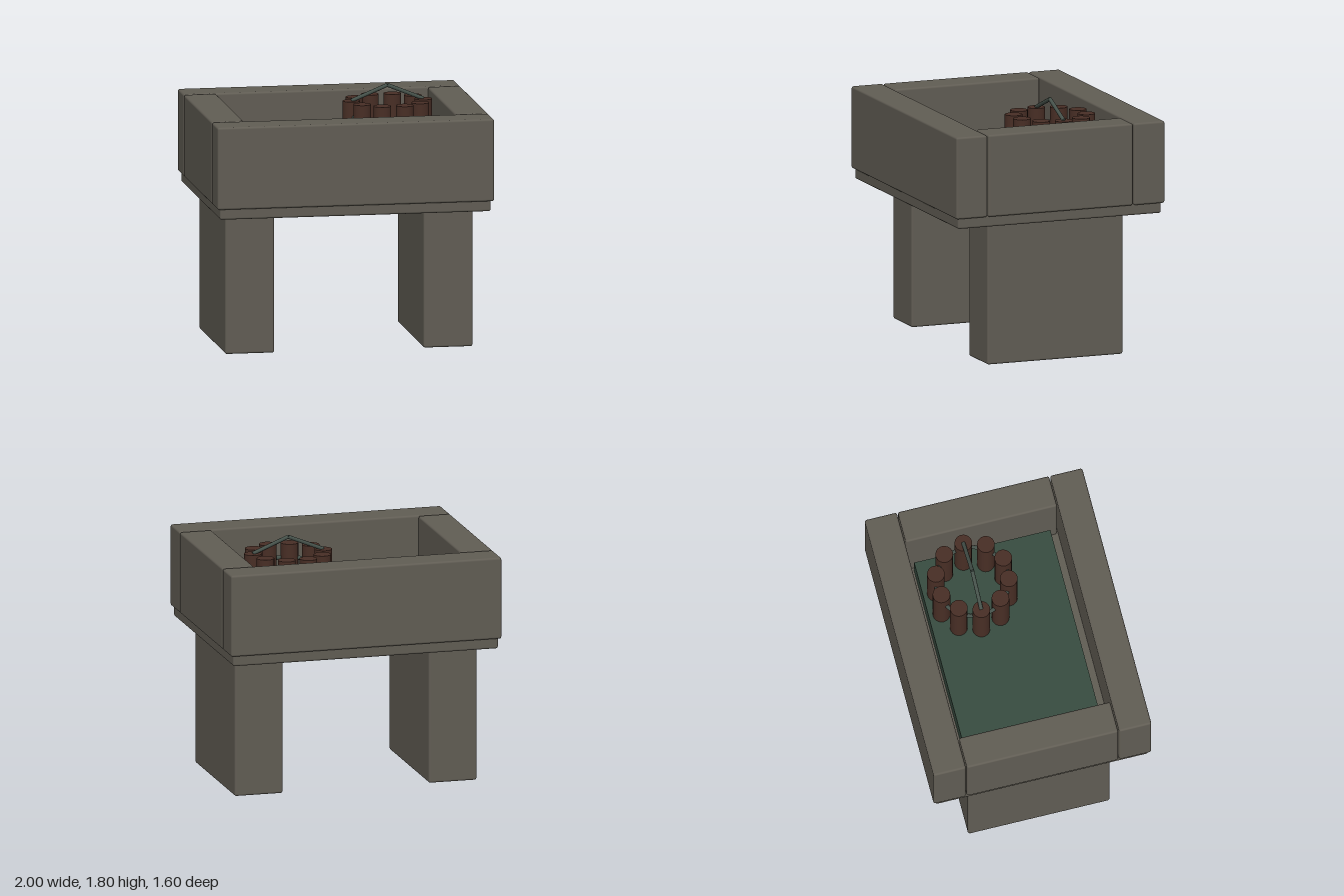
import * as THREE from 'three';
import { RoundedBoxGeometry } from 'three/addons/geometries/RoundedBoxGeometry.js';

const mat = (name, color) => new THREE.MeshStandardMaterial({ name, color });

export function createModel() {
  const stone = mat('stone', 0x615d54);
  const water = mat('water', 0x384c40);
  const wood = mat('wood', 0x482e25);
  const metal = mat('metal', 0x46524b);

  const model = new THREE.Group();
  model.name = 'stoneTrough';

  const add = (parent, name, geometry, material, x = 0, y = 0, z = 0) => {
    const mesh = new THREE.Mesh(geometry, material);
    mesh.name = name;
    mesh.position.set(x, y, z);
    parent.add(mesh);
    return mesh;
  };
  // Stone block with softened edges, centred on x and z, spanning y0 to y1
  const block = (name, w, y0, y1, d, x = 0, z = 0) =>
    add(model, name, new RoundedBoxGeometry(w, y1 - y0, d, 2, 0.015), stone, x, (y0 + y1) / 2, z);

  // Basin: base slab, four walls and two legs
  block('baseSlab', 1.96, 1.02, 1.105, 1.56);
  for (const [side, s] of [['left', 1], ['right', -1]]) {
    block(side + 'Leg', 0.355, 0, 1.03, 1.04, s * 0.7175);
    block(side + 'Wall', 0.235, 1.095, 1.69, 1.11, s * 0.8825);
  }
  block('frontWall', 2, 1.095, 1.69, 0.237, 0, 0.6815);
  block('backWall', 2, 1.095, 1.69, 0.237, 0, -0.6815);

  // Water
  add(model, 'water', new THREE.BoxGeometry(1.486, 0.18, 1), water, 0, 1.19, 0);

  // Bucket standing in the water: round staves, two hoops and a peaked handle
  const bucket = new THREE.Group();
  bucket.name = 'bucket';
  bucket.position.set(0.4, 0, -0.16);
  model.add(bucket);

  const R = 0.26, staveBottom = 1.11, staveTop = 1.68;
  const staveGeo = new THREE.CylinderGeometry(0.063, 0.063, staveTop - staveBottom, 20);
  for (let i = 0; i < 10; i++) {
    const a = (i / 10) * Math.PI * 2;
    add(bucket, 'stave', staveGeo, wood, R * Math.cos(a), (staveBottom + staveTop) / 2, R * Math.sin(a));
  }
  const hoopGeo = new THREE.TorusGeometry(R, 0.015, 8, 40).rotateX(Math.PI / 2);
  for (const y of [1.22, 1.57]) add(bucket, 'hoop', hoopGeo, metal, 0, y, 0);

  const span = 0.26, rise = 0.106;
  const rodGeo = new THREE.CylinderGeometry(0.014, 0.014, Math.hypot(span, rise), 10);
  for (const s of [-1, 1]) {
    const rod = add(bucket, 'handleRod', rodGeo, metal, s * span / 2, 1.68 + rise / 2, 0);
    rod.rotation.z = s * Math.atan2(span, rise);
  }
  return model;
}
